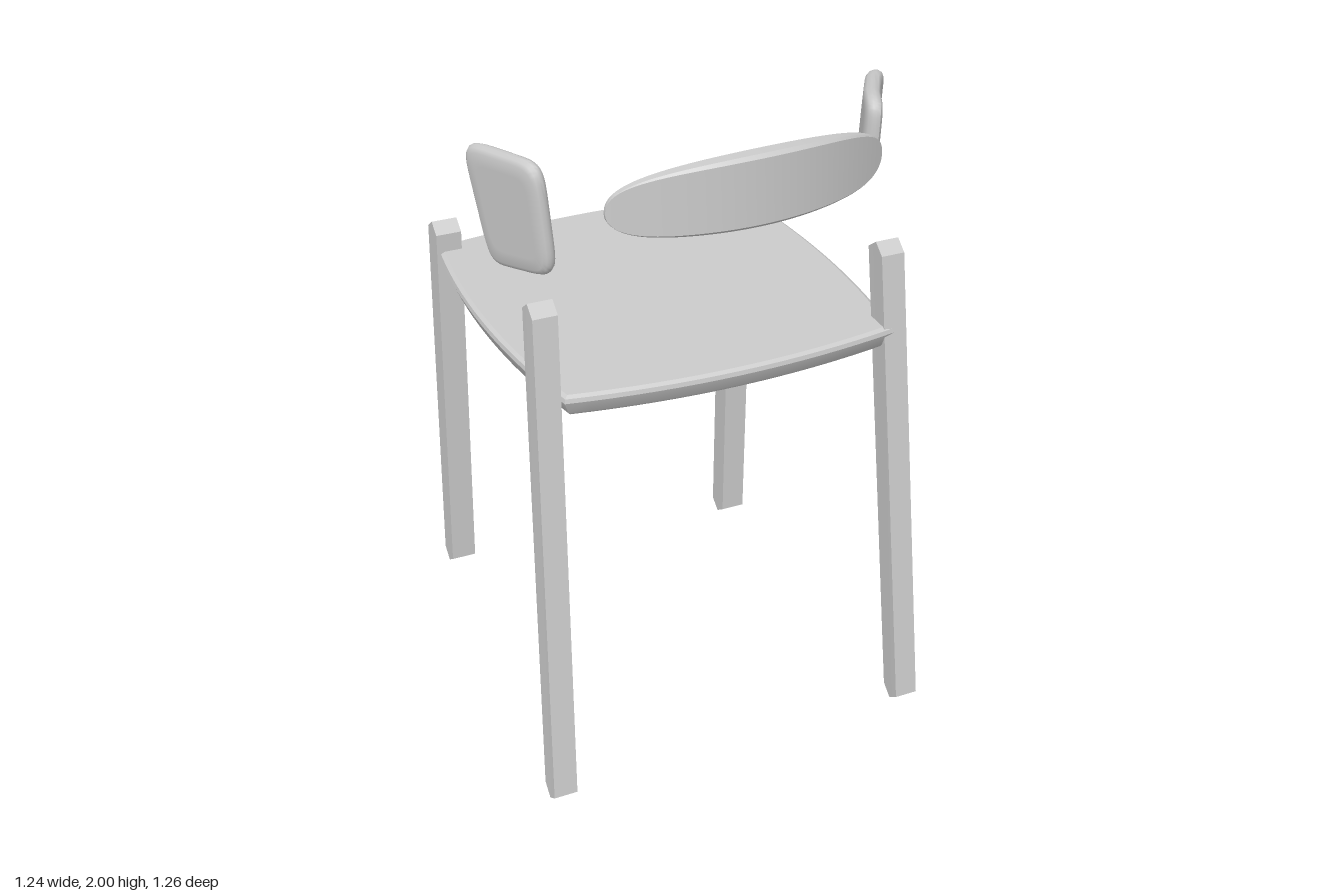
import * as THREE from 'three';
import { toCreasedNormals } from 'three/addons/utils/BufferGeometryUtils.js';

const material = new THREE.MeshStandardMaterial({ color: 0xcccccc });

function part(name, geometry) {
  const mesh = new THREE.Mesh(geometry, material);
  mesh.name = name;
  return mesh;
}

// Skins a stack of closed rings (counter-clockwise about the stacking direction)
function loft(rings, crease) {
  const pos = [], index = [], n = rings[0].length;
  rings.forEach((ring) => ring.forEach((p) => pos.push(p.x, p.y, p.z)));
  for (let i = 0; i < rings.length - 1; i++) {
    for (let j = 0; j < n; j++) {
      const a = i * n + j, b = i * n + (j + 1) % n;
      index.push(a, b, b + n, a, b + n, a + n);
    }
  }
  const geometry = new THREE.BufferGeometry();
  geometry.setAttribute('position', new THREE.Float32BufferAttribute(pos, 3));
  geometry.setIndex(index);
  return toCreasedNormals(geometry.toNonIndexed(), crease);
}

// Rounded-square loop in the range -1..1
function roundedLoop(count, power) {
  const bend = (c) => Math.sign(c) * Math.pow(Math.abs(c), 2 / power);
  return Array.from({ length: count }, (_, i) => {
    const a = (i + 0.5) / count * Math.PI * 2;
    return [bend(Math.cos(a)), bend(Math.sin(a))];
  });
}

// Square post between two points, with low ridged ends
function leg(name, top, bottom, width, depth) {
  const geometry = new THREE.BoxGeometry(width, 1, depth, 1, 1, 2);
  const p = geometry.attributes.position;
  for (let i = 0; i < p.count; i++) {
    const up = p.getY(i) > 0, end = up ? top : bottom;
    const drop = Math.abs(p.getZ(i)) > 0.001 ? 0.03 : 0;
    p.setXYZ(i, p.getX(i) + end[0], end[1] + (up ? -drop : drop), p.getZ(i) + end[2]);
  }
  return part(name, toCreasedNormals(geometry.toNonIndexed(), 0.2));
}

// Seat slab: four bowed edges, undercut towards the bottom
function seat() {
  const corners = [[0.525, 0.457], [0.5, -0.56], [-0.53, -0.562], [-0.487, 0.45]];
  const bows = [[0.045, 0], [0, -0.043], [-0.047, 0], [0, 0.047]];
  const outline = [];
  corners.forEach((c, k) => {
    const d = corners[(k + 1) % 4];
    for (let i = 0; i < 16; i++) {
      const t = i / 16, bow = 4 * t * (1 - t);
      outline.push([
        c[0] + (d[0] - c[0]) * t + bows[k][0] * bow,
        c[1] + (d[1] - c[1]) * t + bows[k][1] * bow,
      ]);
    }
  });
  const layers = [[0, 1.23], [0.955, 1.23], [0.97, 1.24], [1, 1.28], [0.995, 1.293], [0.975, 1.3], [0, 1.302]];
  const rings = layers.map(([s, y]) =>
    outline.map(([x, z]) => new THREE.Vector3(x * s, y, -0.05 + (z + 0.05) * s)));
  return part('seat', loft(rings, 0.5));
}

// Crescent back rail: sections swept from right to left
function backRail() {
  const rings = [], steps = 48;
  for (let i = 0; i <= steps; i++) {
    const t = -Math.cos(i / steps * Math.PI);
    const x = 0.022 + 0.412 * t, q = Math.max(0, 1 - t * t);
    const top = 1.86 + 0.14 * Math.pow(q, 0.42);
    const low = 1.86 - 0.065 * Math.sqrt(Math.max(0, 1 - Math.pow(t, 8)));
    const outer = 0.628 - 0.128 * t * t - 0.025 * t;
    const inner = 0.543 - 0.05 * t * t - 0.022 * t;
    const innerTop = inner + 0.03 * q;
    const b = 0.01 * q;
    rings.push([
      [low, inner + b], [low + b, inner], [(top + low) / 2, (inner + innerTop) / 2],
      [top - b, innerTop], [top, innerTop + b], [top, outer - b],
      [top - b, outer], [low + b, outer], [low, outer - b],
    ].map(([y, z]) => new THREE.Vector3(x, y, z)));
  }
  return part('backRail', loft(rings, 0.6));
}

// Cushion-edged plate on four corners: front bottom, back bottom, back top, front top
function sidePad(name, corners, thickness, bow) {
  const [fb, bb, bt, ft] = corners.map((c) => new THREE.Vector3(...c));
  const along = bb.clone().add(bt).sub(fb).sub(ft);
  const upward = ft.clone().add(bt).sub(fb).sub(bb);
  const normal = along.cross(upward).normalize();
  const layers = [[0, -0.5], [0.35, -0.5], [0.7, -0.5], [0.9, -0.5], [0.97, -0.35], [1, -0.1],
    [1, 0.1], [0.97, 0.35], [0.9, 0.5], [0.7, 0.5], [0.35, 0.5], [0, 0.5]];
  const loop = roundedLoop(56, 6);
  const rings = layers.map(([s, h]) => loop.map(([lu, lv]) => {
    const u = lu * s, v = lv * s;
    const low = fb.clone().lerp(bb, (u + 1) / 2);
    const high = ft.clone().lerp(bt, (u + 1) / 2);
    return low.lerp(high, (v + 1) / 2).addScaledVector(normal, h * thickness + bow * (1 - u * u));
  }));
  return part(name, loft(rings, 0.7));
}

export function createModel() {
  const group = new THREE.Group();
  group.name = 'chair';
  group.add(
    seat(),
    backRail(),
    // Splayed legs under the back rail
    leg('backRightLeg', [-0.527, 1.575, 0.39], [-0.583, 0.01, 0.58], 0.072, 0.078),
    leg('backLeftLeg', [0.521, 1.548, 0.388], [0.572, 0, 0.574], 0.072, 0.078),
    // Shorter legs on the open side
    leg('frontRightLeg', [-0.506, 1.39, -0.547], [-0.515, 0.07, -0.592], 0.08, 0.084),
    leg('frontLeftLeg', [0.49, 1.39, -0.535], [0.502, 0.008, -0.574], 0.08, 0.084),
    // Arm pads, leaning outwards
    sidePad('rightPad', [[-0.572, 1.59, 0.155], [-0.483, 1.64, 0.395],
      [-0.51, 1.965, 0.385], [-0.62, 1.94, 0.1]], 0.042, 0),
    sidePad('leftPad', [[0.575, 1.718, 0.16], [0.432, 1.757, 0.418],
      [0.435, 2, 0.428], [0.613, 1.965, 0.122]], 0.045, 0.015),
  );
  return group;
}
